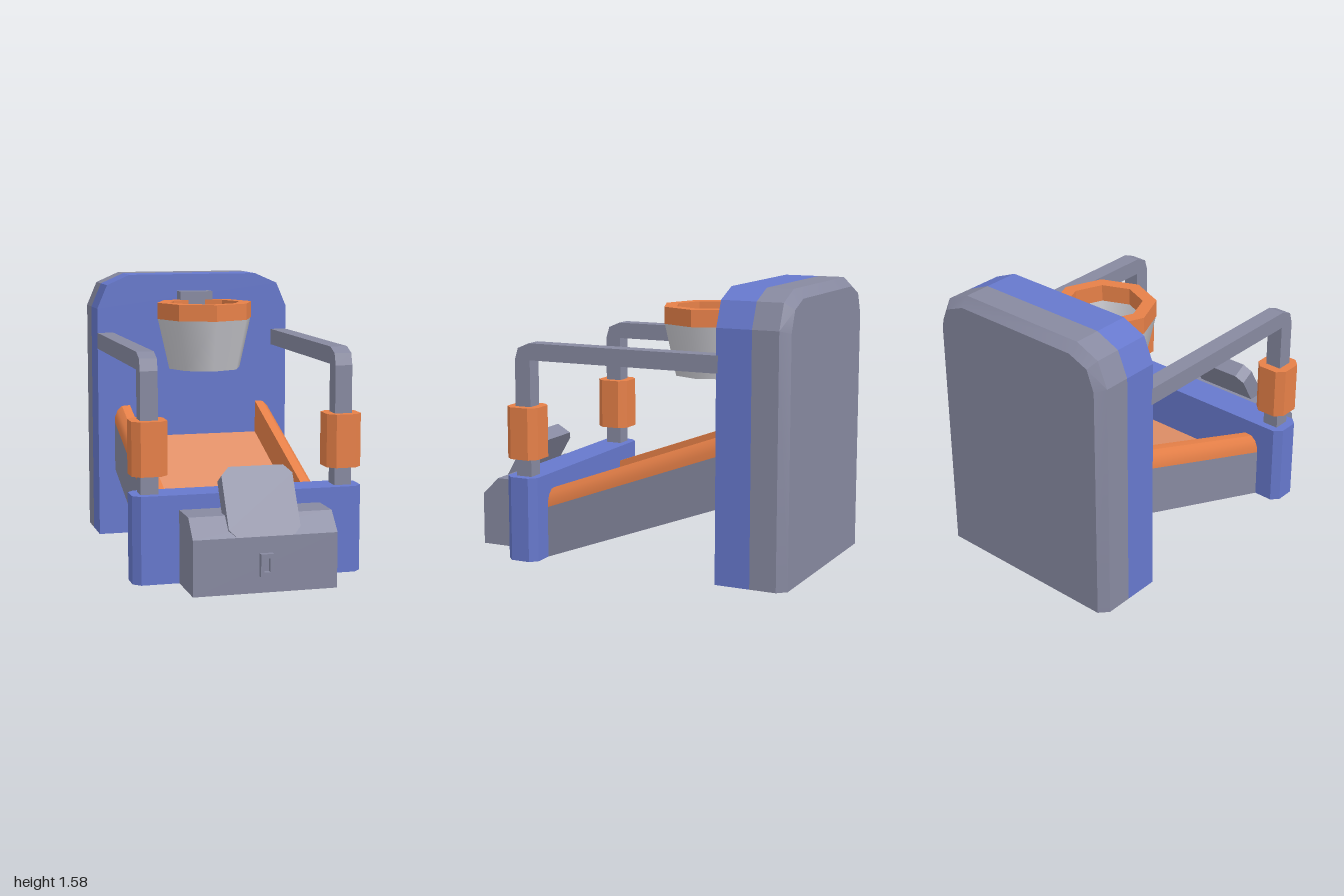
import * as THREE from 'three';
import { ConvexGeometry } from 'three/addons/geometries/ConvexGeometry.js';
import { toCreasedNormals } from 'three/addons/utils/BufferGeometryUtils.js';

const material = (name, color, side = THREE.FrontSide) => {
  const m = new THREE.MeshStandardMaterial({ color, side });
  m.name = name;
  return m;
};

const makeShape = (points) => new THREE.Shape(points.map(([x, y]) => new THREE.Vector2(x, y)));

// Outline in x/y, extruded from z0 to z1
function slab(points, z0, z1) {
  return new THREE.ExtrudeGeometry(makeShape(points), { depth: z1 - z0, bevelEnabled: false }).translate(0, 0, z0);
}

// Side profile given as z/y points, extruded across x
function sideProfile(points, width) {
  return slab(points, -width / 2, width / 2).rotateY(-Math.PI / 2);
}

// Upright block with chamfered vertical edges
function chamferedPost(w, d, y0, y1, c) {
  const x = w / 2, z = d / 2;
  const pts = [[x, -z + c], [x, z - c], [x - c, z], [-x + c, z], [-x, z - c], [-x, -z + c], [-x + c, -z], [x - c, -z]];
  return slab(pts, 0, y1 - y0).rotateX(-Math.PI / 2).translate(0, y0, 0);
}

// Half outline mirrored to a closed, counter-clockwise one
const mirrored = (half) => [...half, ...half.map(([x, y]) => [-x, y]).reverse()];

// Extrude along the ramp, rising towards the back
function rampPart(points) {
  const front = 0.48, back = -0.6, rise = 0.4;
  const g = slab(points, back, front);
  const p = g.attributes.position;
  for (let i = 0; i < p.count; i++) {
    p.setY(i, p.getY(i) + rise * (front - p.getZ(i)) / (front - back));
  }
  g.computeVertexNormals();
  return toCreasedNormals(g, 0.6);
}

export function createModel() {
  const model = new THREE.Group();
  const blue = material('blue', 0x6678cc);
  const gray = material('gray', 0x8789a0);
  const orange = material('orange', 0xe68048);
  const floorOrange = material('pale orange', 0xe09068);
  const netGray = material('light gray', 0xc8c8ce, THREE.DoubleSide);

  const add = (name, geometry, mat, parent = model) => {
    const mesh = new THREE.Mesh(geometry, mat);
    mesh.name = name;
    parent.add(mesh);
    return mesh;
  };

  // Backboard and its bevelled rear casing
  const outline = mirrored([[0.59, 0], [0.59, 1.38], [0.53, 1.52], [0.393, 1.58]]);
  const inset = mirrored([[0.545, 0], [0.545, 1.365], [0.5, 1.482], [0.383, 1.53]]);
  add('backboard', slab(outline, -0.8, -0.6), blue);
  const casing = [[outline, -0.8], [outline, -0.95], [inset, -1]]
    .flatMap(([pts, z]) => pts.map(([x, y]) => new THREE.Vector3(x, y, z)));
  add('rearCasing', toCreasedNormals(new ConvexGeometry(casing), 0.3), gray);

  // Front cabinet and console
  const cabinet = add('frontCabinet', chamferedPost(1.28, 0.19, 0, 0.48, 0.04), blue);
  cabinet.position.z = 0.575;
  add('console', sideProfile([[0.6, 0], [0.97, 0], [0.97, 0.3], [0.87, 0.4], [0.6, 0.4]], 0.785), gray);

  // Tilted display panel
  const panel = add('displayPanel', slab(mirrored([[0.155, 0], [0.195, 0.045], [0.195, 0.345], [0.15, 0.392]]), -0.094, 0), gray);
  panel.position.set(0, 0.3, 0.97);
  panel.rotation.x = -Math.PI / 6;

  // Coin slot frame
  const rect = (w, y0, y1) => [[w, y0], [w, y1], [-w, y1], [-w, y0]];
  const frame = makeShape(rect(0.035, 0.09, 0.212));
  frame.holes.push(makeShape(rect(0.016, 0.115, 0.188)));
  add('coinSlot', new THREE.ExtrudeGeometry(frame, { depth: 0.03, bevelEnabled: false }).translate(0, 0, 0.97), gray);

  // Ramp with a pale top face
  add('rampBody', rampPart(rect(0.485, 0, 0.19)), orange);
  add('rampFloor', rampPart(rect(0.395, 0.19, 0.197)), floorOrange);

  for (const side of [1, -1]) {
    const sideName = side > 0 ? 'left' : 'right';
    const flip = (pts) => (side > 0 ? pts : pts.map(([x, y]) => [-x, y]).reverse());

    // Ramp side: gray skin and orange rail
    add(sideName + 'RampSide', rampPart(flip([[0.484, 0], [0.49, 0], [0.49, 0.29], [0.484, 0.29]])), gray);
    add(sideName + 'RampRail', rampPart(flip([
      [0.395, 0.18], [0.485, 0.18], [0.485, 0.29], [0.49, 0.29], [0.487, 0.325], [0.472, 0.362], [0.445, 0.387], [0.42, 0.39], [0.395, 0.39],
    ])), orange);

    // Bent support arm
    const arm = add(sideName + 'Arm', sideProfile([
      [0.62, 0.46], [0.62, 1.14], [0.6, 1.205], [0.53, 1.235], [-0.61, 1.235], [-0.61, 1.14], [0.525, 1.14], [0.525, 0.46],
    ], 0.096), gray);
    arm.position.x = side * 0.542;

    // Padded sleeve on the arm
    const sleeve = add(sideName + 'Sleeve', chamferedPost(0.195, 0.195, 0.583, 0.877, 0.042), orange);
    sleeve.position.set(side * 0.5425, 0, 0.572);
  }

  // Hoop: eight-sided ring, open net and mounting bracket
  const hoop = new THREE.Group();
  hoop.name = 'hoop';
  hoop.position.z = -0.316;
  model.add(hoop);
  const ringProfile = [[0.21, 1.335], [0.285, 1.335], [0.285, 1.43], [0.21, 1.43], [0.21, 1.335]]
    .map(([r, y]) => new THREE.Vector2(r, y));
  const ring = new THREE.LatheGeometry(ringProfile, 8).toNonIndexed();
  ring.computeVertexNormals();
  add('hoopRing', ring, orange, hoop);
  add('hoopNet', new THREE.CylinderGeometry(0.283, 0.215, 0.297, 8, 1, true).translate(0, 1.1885, 0), netGray, hoop);
  add('hoopBracket', new THREE.BoxGeometry(0.197, 0.195, 0.105).translate(0, 1.3825, -0.5575), gray);

  return model;
}
